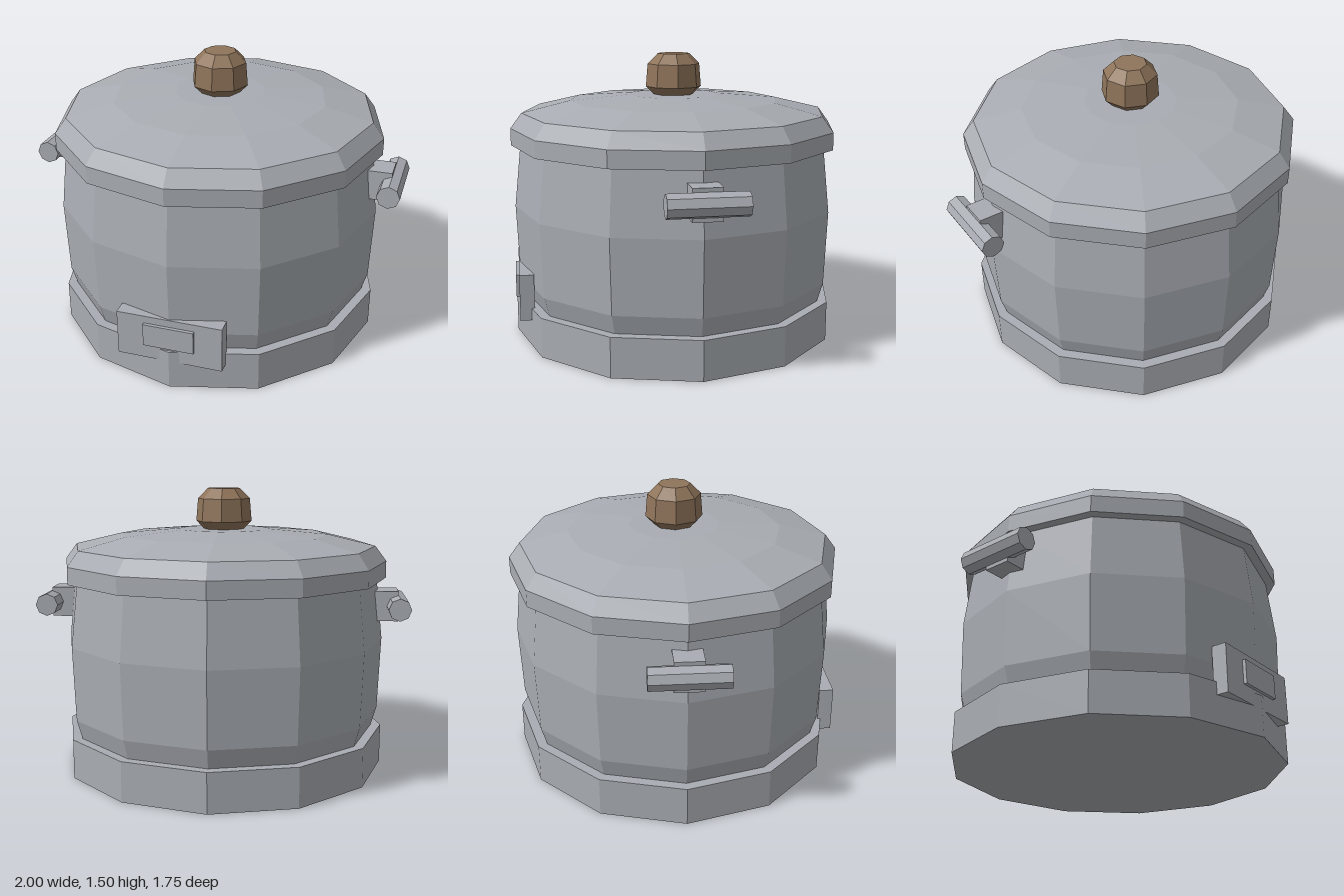
import * as THREE from 'three';

export function createModel() {
  const pot = new THREE.Group();
  pot.name = 'cookingPot';

  const metal = new THREE.MeshStandardMaterial({ color: 0xa9adb3, flatShading: true });
  metal.name = 'brushed metal';
  const wood = new THREE.MeshStandardMaterial({ color: 0x8f745a, flatShading: true });
  wood.name = 'brown knob';

  const add = (name, geometry, material, x = 0, y = 0, z = 0, parent = pot) => {
    const mesh = new THREE.Mesh(geometry, material);
    mesh.name = name;
    mesh.position.set(x, y, z);
    parent.add(mesh);
    return mesh;
  };
  // Turned part from [radius, height] pairs, listed bottom to top
  const turned = (points, sides) =>
    new THREE.LatheGeometry(points.map(([r, y]) => new THREE.Vector2(r, y)), sides);

  // Heating base, bulging body and stepped lid
  add('base', turned([[0, 0], [0.87, 0], [0.87, 0.21], [0, 0.21]], 12), metal);
  add('body', turned([[0.815, 0.2], [0.818, 0.21], [0.847, 0.31], [0.862, 0.7], [0.825, 1.04]], 12), metal);
  add('lid', turned([[0, 1.03], [0.875, 1.03], [0.875, 1.12], [0.815, 1.2],
    [0.565, 1.26], [0.24, 1.288], [0, 1.288]], 12), metal);

  // Lid knob
  add('knob', turned([[0, 1.28], [0.105, 1.285], [0.15, 1.33], [0.14, 1.45],
    [0.085, 1.505], [0, 1.505]], 8), wood);

  // Side handles: a bracket and a grip rod
  for (const [side, name] of [[1, 'leftHandle'], [-1, 'rightHandle']]) {
    const handle = new THREE.Group();
    handle.name = name;
    pot.add(handle);
    add('bracket', new THREE.BoxGeometry(0.16, 0.16, 0.146), metal, side * 0.86, 0.885, 0, handle);
    const grip = add('grip', new THREE.CylinderGeometry(0.06, 0.06, 0.39, 8), metal, side * 0.94, 0.885, 0, handle);
    grip.rotation.x = Math.PI / 2;
  }

  // Front control panel with a raised inset
  add('controlPanel', new THREE.BoxGeometry(0.55, 0.246, 0.076), metal, 0, 0.268, 0.818);
  add('controlInset', new THREE.BoxGeometry(0.264, 0.122, 0.06), metal, 0, 0.29, 0.843);

  return pot;
}
